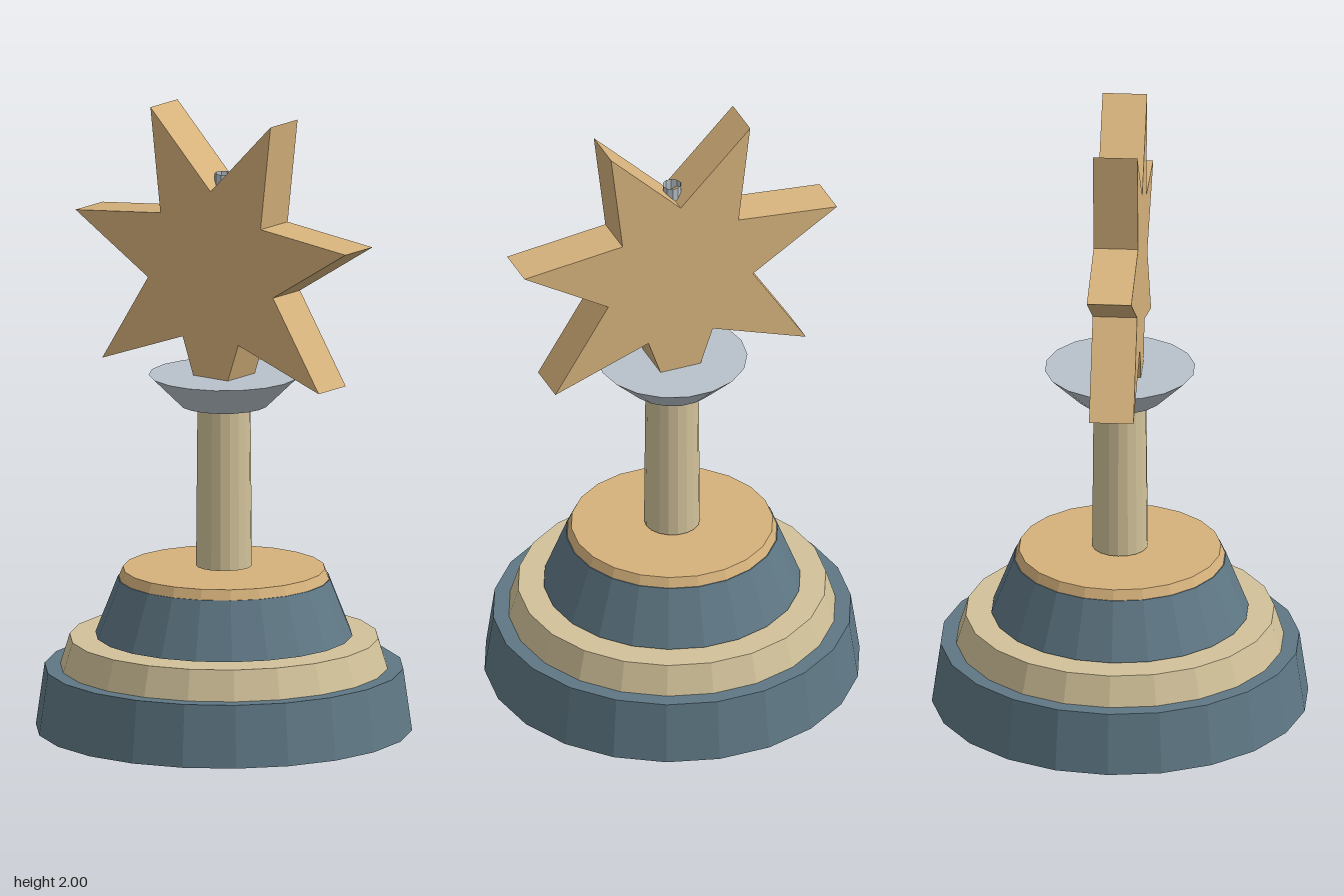
import * as THREE from 'three';

const BLUE = 0x5f7885, SAND = 0xd2c29a, GOLD = 0xd6b27c, STEEL = 0xb8c2ca;

function material(color, side = THREE.FrontSide) {
  const m = new THREE.MeshStandardMaterial({ color, flatShading: true });
  m.side = side;
  return m;
}

// Tapered round section from y0 to y1, with a flat side facing front
function section(name, color, r0, r1, y0, y1, sides, open = false) {
  const geo = new THREE.CylinderGeometry(r1, r0, y1 - y0, sides, 1, open);
  geo.rotateY(Math.PI / sides);
  geo.translate(0, (y0 + y1) / 2, 0);
  const mesh = new THREE.Mesh(geo, material(color, open ? THREE.DoubleSide : THREE.FrontSide));
  mesh.name = name;
  return mesh;
}

export function createModel() {
  const model = new THREE.Group();
  model.name = 'starTrophy';

  // Stepped base
  const base = new THREE.Group();
  base.name = 'base';
  base.add(
    section('foot', BLUE, 0.6, 0.572, 0, 0.2, 22),
    section('lowerBand', SAND, 0.522, 0.492, 0.2, 0.297, 22),
    section('upperTier', BLUE, 0.41, 0.338, 0.304, 0.488, 22),
    section('topPlate', GOLD, 0.335, 0.322, 0.488, 0.52, 22)
  );
  model.add(base);

  // Column, dish and the thin pin that runs up through the star
  model.add(
    section('column', SAND, 0.089, 0.084, 0.528, 1.1, 18),
    section('dish', STEEL, 0.14, 0.24, 1.052, 1.15, 18),
    section('pin', STEEL, 0.03, 0.03, 1.1, 1.806, 10, true)
  );

  // Seven-pointed star with one point set down into the dish
  const points = 7, outer = 0.553, inner = 0.256, depth = 0.142;
  const shape = new THREE.Shape();
  for (let i = 0; i < points * 2; i++) {
    const a = -Math.PI / 2 + (i * Math.PI) / points;
    const r = i % 2 ? inner : outer;
    const x = r * Math.cos(a), y = r * Math.sin(a);
    if (i) shape.lineTo(x, y);
    else shape.moveTo(x, y);
  }
  shape.closePath();
  const starGeo = new THREE.ExtrudeGeometry(shape, { depth, bevelEnabled: false });
  starGeo.translate(0, 1.502, -depth / 2);
  const star = new THREE.Mesh(starGeo, material(GOLD));
  star.name = 'star';
  model.add(star);

  return model;
}
